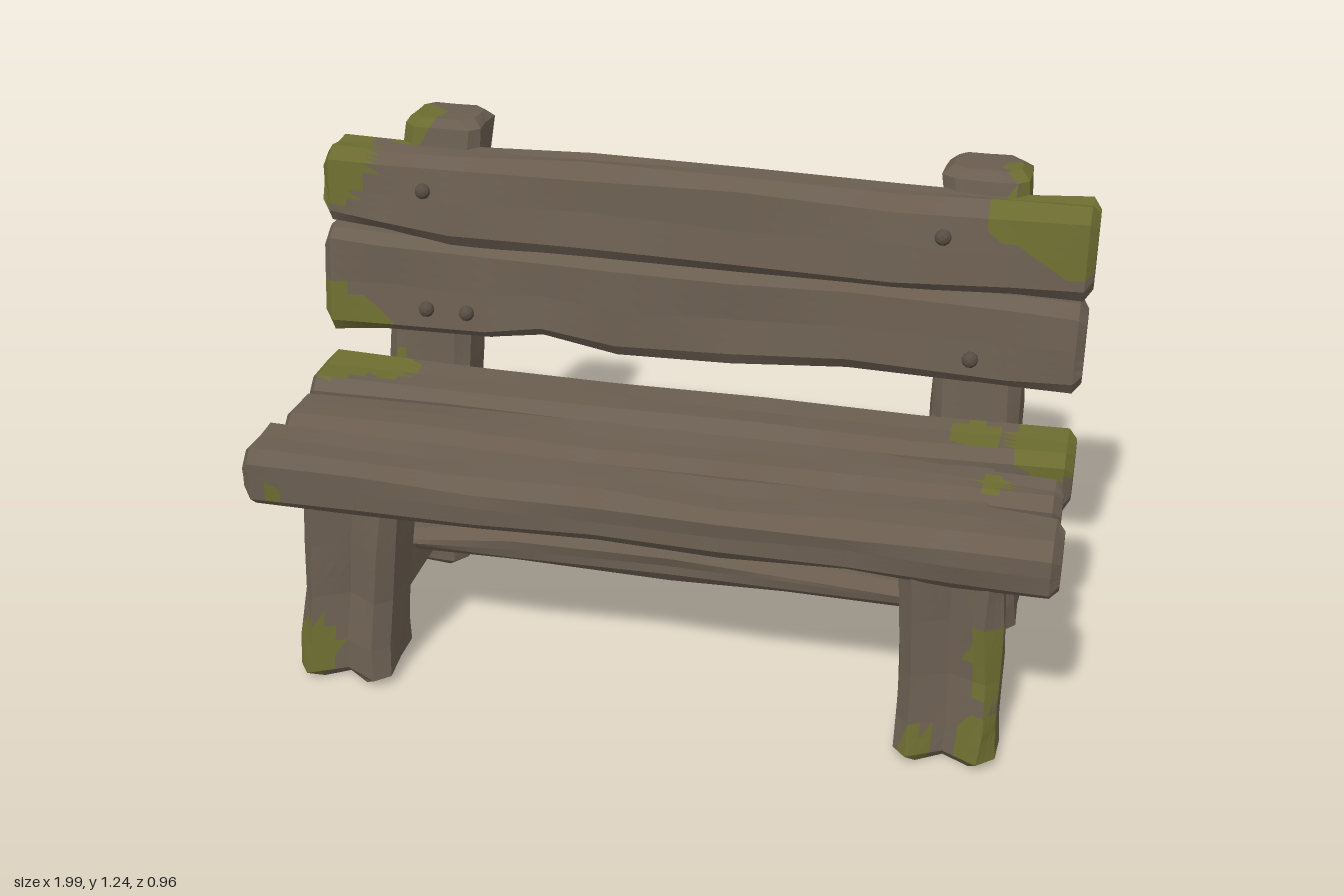
import * as THREE from 'three';

const wood = new THREE.MeshStandardMaterial({ color: 0x6a5d50 });
wood.name = 'weathered wood';
const moss = new THREE.MeshStandardMaterial({ color: 0x6b6b30 });
moss.name = 'moss';
const peg = new THREE.MeshStandardMaterial({ color: 0x574c42 });
peg.name = 'dark peg';
for (const m of [wood, moss, peg]) m.flatShading = true;

// Moss spots: x, y, z, radius
const spots = [
  [-1, 1.15, -0.24, 0.14], [0.93, 1.16, -0.23, 0.15], [0.8, 1.17, -0.22, 0.09], [0.95, 1.07, -0.21, 0.07],
  [-1, 0.71, -0.16, 0.12], [-0.88, 0.72, -0.15, 0.06],
  [-0.93, 0.62, -0.1, 0.1], [-0.8, 0.62, -0.11, 0.07], [0.74, 0.62, -0.08, 0.07], [0.92, 0.62, -0.07, 0.1],
  [-0.79, 1.22, -0.36, 0.08], [0.81, 1.21, -0.36, 0.06],
  [-0.85, 0.09, 0.46, 0.08], [0.87, 0.3, 0.42, 0.08], [0.86, 0.22, 0.42, 0.06],
  [0.86, 0.08, 0.46, 0.08], [0.7, 0.05, 0.47, 0.05],
  [0.88, 0.11, -0.3, 0.04], [0.76, 0.05, -0.4, 0.07],
  [0.81, 0.6, 0.13, 0.04], [-0.92, 0.51, 0.43, 0.025],
];

let seed = 7;
const rand = () => {
  seed = (seed * 16807) % 2147483647;
  return (seed / 2147483647) * 2 - 1;
};
const mix = (a, b, t) => a.map((v, i) => v + (b[i] - v) * t);

// Hewn timber along an axis. Stations: [t, u0, u1, v0, v1], where u and v follow the axis cyclically (x: y,z; y: z,x; z: x,y).
function timber(name, axis, stations, { c = 0.03, rough = 0.006, lean = 0, groove = 0, step = 0.04 } = {}) {
  const first = stations[0], last = stations[stations.length - 1];
  const inset = (s) => [s[0], s[1] + c * 0.7, s[2] - c * 0.7, s[3] + c * 0.7, s[4] - c * 0.7];
  const shift = (s, d) => [s[0] + d, ...s.slice(1)];
  const list = [inset(first), shift(first, c * 0.7), ...stations.slice(1, -1), shift(last, -c * 0.7), inset(last)];

  const place = (t, u, v) => (axis === 'x' ? [t, u, v] : axis === 'y' ? [v, t, u] : [u, v, t]);
  const control = list.map(([t, u0, u1, v0, v1]) => {
    const hu = (u1 - u0) / 2, hv = (v1 - v0) / 2, cu = (u0 + u1) / 2, cv = (v0 + v1) / 2;
    const ku = Math.max(hu - c, hu * 0.3), kv = Math.max(hv - c, hv * 0.3);
    return [
      [hu, -kv], [hu - groove, 0], [hu, kv], [ku, hv], [0, hv], [-ku, hv],
      [-hu, kv], [-hu, 0], [-hu, -kv], [-ku, -hv], [0, -hv], [ku, -hv],
    ].map(([u, v]) => place(t, cu + u + rand() * rough, cv + v + lean * u + rand() * rough));
  });

  // Subdivide facets so moss can have a fine outline
  const ringOf = (r) => r.flatMap((p, i) => [0, 1 / 3, 2 / 3].map((f) => mix(p, r[(i + 1) % r.length], f)));
  const rings = [];
  control.forEach((r, i) => {
    if (i === 0) return rings.push(ringOf(r));
    const n = Math.max(1, Math.round((list[i][0] - list[i - 1][0]) / step));
    for (let k = 1; k <= n; k++) rings.push(ringOf(control[i - 1].map((p, j) => mix(p, r[j], k / n))));
  });

  const faces = [[], []];
  const tri = (a, b, d) => {
    const m = [0, 1, 2].map((i) => (a[i] + b[i] + d[i]) / 3);
    const mossy = spots.some(([x, y, z, r]) => Math.hypot(m[0] - x, m[1] - y, m[2] - z) < r);
    faces[mossy ? 1 : 0].push(...a, ...b, ...d);
  };
  const count = rings[0].length;
  for (let i = 0; i < rings.length - 1; i++) {
    for (let j = 0; j < count; j++) {
      const k = (j + 1) % count, a = rings[i], b = rings[i + 1];
      tri(a[j], a[k], b[k]);
      tri(a[j], b[k], b[j]);
    }
  }
  for (const [ring, flip] of [[rings[0], true], [rings[rings.length - 1], false]]) {
    const mid = [0, 1, 2].map((i) => ring.reduce((s, p) => s + p[i], 0) / count);
    ring.forEach((p, j) => {
      const q = ring[(j + 1) % count];
      const pm = mix(mid, p, 0.5), qm = mix(mid, q, 0.5);
      if (flip) { tri(mid, qm, pm); tri(pm, qm, q); tri(pm, q, p); }
      else { tri(mid, pm, qm); tri(pm, p, q); tri(pm, q, qm); }
    });
  }
  const geometry = new THREE.BufferGeometry();
  geometry.setAttribute('position', new THREE.Float32BufferAttribute([...faces[0], ...faces[1]], 3));
  geometry.addGroup(0, faces[0].length / 3, 0);
  geometry.addGroup(faces[0].length / 3, faces[1].length / 3, 1);
  geometry.computeVertexNormals();
  const mesh = new THREE.Mesh(geometry, [wood, moss]);
  mesh.name = name;
  return mesh;
}

function bolt(name, x, y, z, r) {
  const mesh = new THREE.Mesh(new THREE.IcosahedronGeometry(r, 1), peg);
  mesh.name = name;
  mesh.position.set(x, y, z);
  return mesh;
}

export function createModel() {
  const bench = new THREE.Group();
  bench.name = 'bench';

  // Seat planks
  bench.add(
    timber('frontSeatPlank', 'x', [
      [-1, 0.46, 0.615, 0.24, 0.43], [-0.7, 0.46, 0.61, 0.25, 0.425], [-0.4, 0.47, 0.605, 0.24, 0.43],
      [-0.1, 0.47, 0.61, 0.245, 0.425], [0.2, 0.475, 0.605, 0.235, 0.43], [0.5, 0.47, 0.605, 0.225, 0.42],
      [0.75, 0.46, 0.61, 0.22, 0.425], [0.99, 0.455, 0.615, 0.25, 0.425]]),
    timber('middleSeatPlank', 'x', [
      [-0.985, 0.46, 0.605, 0.04, 0.21], [-0.6, 0.46, 0.61, 0.035, 0.215], [-0.2, 0.445, 0.605, 0.035, 0.215],
      [0.2, 0.46, 0.605, 0.03, 0.21], [0.5, 0.455, 0.605, 0.03, 0.21], [0.7, 0.46, 0.605, 0.045, 0.195],
      [0.975, 0.465, 0.6, 0.055, 0.19]]),
    timber('backSeatPlank', 'x', [
      [-0.99, 0.45, 0.62, -0.19, 0.025], [-0.6, 0.455, 0.615, -0.18, 0.015], [-0.2, 0.45, 0.615, -0.185, 0.02],
      [0.2, 0.46, 0.615, -0.185, 0.02], [0.6, 0.455, 0.615, -0.18, 0.025], [0.99, 0.45, 0.62, -0.19, 0.0]]));

  // Leaning backrest planks
  bench.add(
    timber('upperBackPlank', 'x', [
      [-1, 0.975, 1.165, -0.35, -0.205], [-0.84, 0.965, 1.165, -0.34, -0.205], [-0.65, 0.94, 1.165, -0.335, -0.2],
      [-0.3, 0.935, 1.175, -0.335, -0.205], [0.1, 0.935, 1.175, -0.33, -0.2], [0.5, 0.935, 1.165, -0.325, -0.2],
      [0.8, 0.94, 1.165, -0.33, -0.205], [0.99, 0.945, 1.165, -0.345, -0.21]], { lean: -0.18 }),
    timber('lowerBackPlank', 'x', [
      [-1, 0.68, 0.96, -0.29, -0.165], [-0.84, 0.69, 0.955, -0.285, -0.165], [-0.55, 0.69, 0.945, -0.285, -0.165],
      [-0.4, 0.715, 0.945, -0.285, -0.17], [-0.2, 0.69, 0.945, -0.285, -0.165], [0.1, 0.695, 0.945, -0.29, -0.17],
      [0.4, 0.715, 0.945, -0.29, -0.175], [0.8, 0.705, 0.935, -0.295, -0.175], [0.985, 0.705, 0.925, -0.295, -0.175]],
      { lean: -0.15 }));

  for (const s of [-1, 1]) {
    const side = new THREE.Group();
    side.name = s > 0 ? 'leftFrame' : 'rightFrame';
    bench.add(side);
    // x range from inner and outer distances
    const span = (inner, outer) => (s > 0 ? [inner, outer] : [-outer, -inner]);

    // Splayed and grooved front leg
    side.add(timber('frontLeg', 'y', [
      [0, 0.235, 0.475, ...span(0.64, 0.88)], [0.1, 0.235, 0.455, ...span(0.64, 0.88)],
      [0.22, 0.235, 0.425, ...span(0.635, 0.875)], [0.36, 0.21, 0.41, ...span(0.625, 0.87)],
      [0.52, 0.18, 0.395, ...span(0.62, 0.865)]], { groove: 0.04, c: 0.035 }));

    // Back post, bent backwards above the seat
    const top = s > 0 ? 1.215 : 1.235;
    side.add(timber('backPost', 'y', [
      [0, -0.41, -0.125, ...span(0.63, 0.88)], [0.09, -0.39, -0.125, ...span(0.63, 0.875)],
      [0.22, -0.355, -0.135, ...span(0.625, 0.86)], [0.34, -0.335, -0.105, ...span(0.62, 0.85)],
      [0.47, -0.32, -0.08, ...span(0.62, 0.85)], [0.6, -0.345, -0.17, ...span(0.615, 0.84)],
      [0.72, -0.36, -0.19, ...span(0.615, 0.835)], [0.86, -0.4, -0.215, ...span(0.61, 0.83)],
      [1.0, -0.43, -0.255, ...span(0.61, 0.82)], [1.12, -0.46, -0.29, ...span(0.605, 0.815)],
      [top, -0.475, -0.31, ...span(0.6, 0.81)]]));

    // Joining rails between the two legs
    side.add(
      timber('lowerSideRail', 'z', [[-0.2, ...span(0.69, 0.82), 0.09, 0.24], [0.05, ...span(0.69, 0.825), 0.09, 0.24],
        [0.3, ...span(0.69, 0.82), 0.09, 0.24]], { c: 0.015, rough: 0.003 }),
      timber('seatSupport', 'z', [[-0.2, ...span(0.68, 0.82), 0.47, 0.58], [0.05, ...span(0.68, 0.82), 0.46, 0.575],
        [0.36, ...span(0.68, 0.82), 0.47, 0.58]], { c: 0.015, rough: 0.003 }),
      timber('diagonalBrace', 'z', [[-0.02, ...span(0.7, 0.8), 0.2, 0.26], [0.09, ...span(0.7, 0.8), 0.255, 0.345],
        [0.24, ...span(0.7, 0.8), 0.36, 0.46]], { c: 0.015, rough: 0.003 }),
      bolt('railBolt', s * 0.83, 0.185, 0.05, 0.033),
      bolt('postPeg', s * 0.84, 0.385, -0.115, 0.025));
  }

  // Long stretcher between the side frames
  bench.add(timber('longStretcher', 'x', [
    [-0.72, 0.17, 0.24, 0.0, 0.1], [-0.42, 0.175, 0.28, 0.0, 0.1], [0, 0.18, 0.285, 0.005, 0.1],
    [0.3, 0.18, 0.275, 0.0, 0.095], [0.72, 0.18, 0.255, 0.0, 0.1]], { c: 0.025 }));

  // Backrest pegs
  for (const [x, y, z] of [[-0.72, 1.08, -0.205], [0.62, 1.08, -0.205], [-0.71, 0.77, -0.155], [-0.6, 0.77, -0.155], [0.71, 0.78, -0.16]])
    bench.add(bolt('backrestPeg', x, y, z, 0.021));

  return bench;
}
